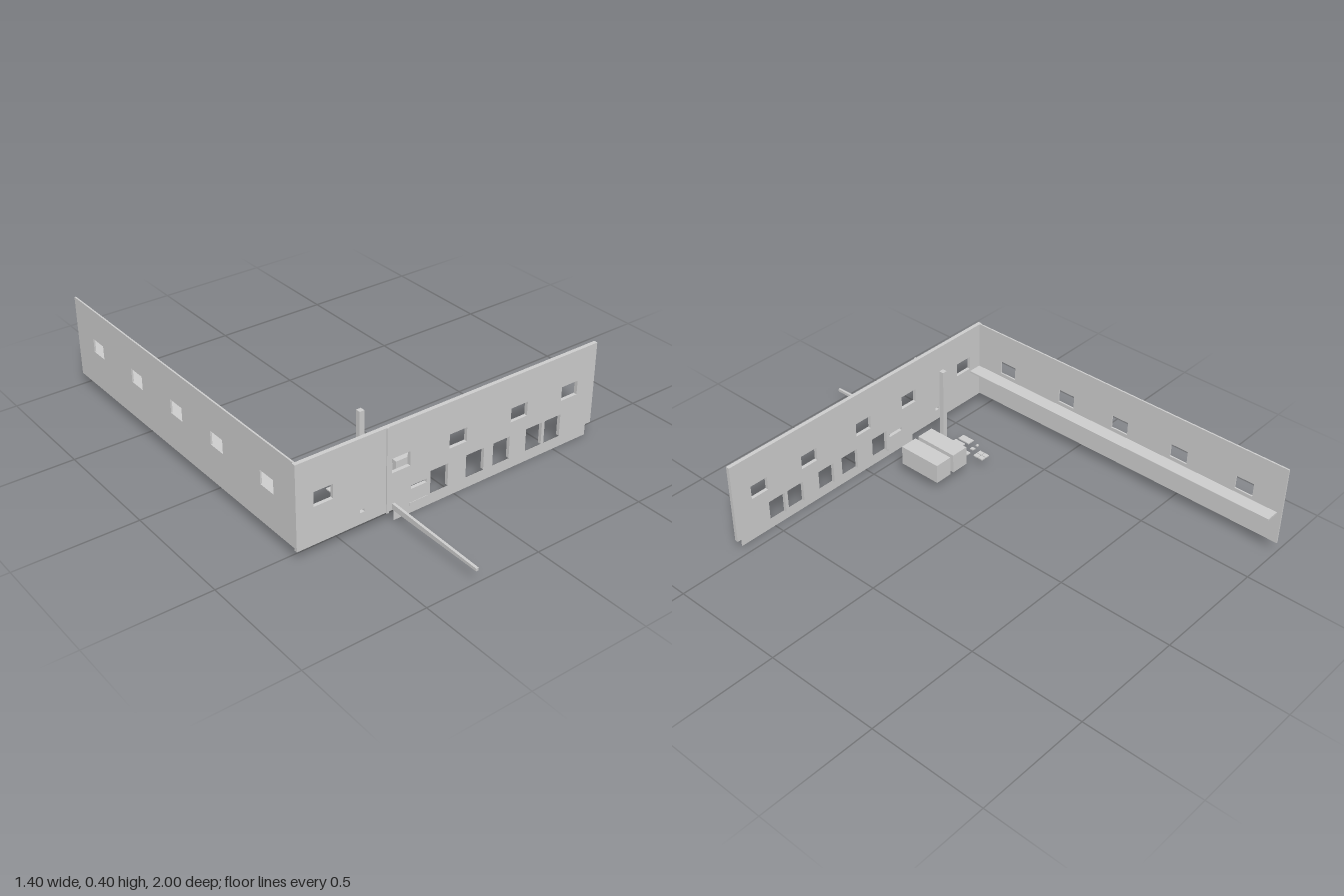
import * as THREE from 'three';

const material = new THREE.MeshStandardMaterial({ color: 0xcccccc, flatShading: true, side: THREE.DoubleSide });

function add(group, name, geometry) {
  const mesh = new THREE.Mesh(geometry, material);
  mesh.name = name;
  group.add(mesh);
  return mesh;
}

// Box given by its minimum and maximum on each axis
function box(group, name, x0, x1, y0, y1, z0, z1) {
  const mesh = add(group, name, new THREE.BoxGeometry(x1 - x0, y1 - y0, z1 - z0));
  mesh.position.set((x0 + x1) / 2, (y0 + y1) / 2, (z0 + z1) / 2);
  return mesh;
}

// Upright wall slab with rectangular openings [x0, x1, y0, y1] and doorways [x0, x1] rising from the base
function wall(x0, x1, y0, y1, depth, openings, doors = [], doorTop = 0) {
  const shape = new THREE.Shape();
  shape.moveTo(x0, y0);
  for (const [a, b] of doors) {
    shape.lineTo(a, y0);
    shape.lineTo(a, doorTop);
    shape.lineTo(b, doorTop);
    shape.lineTo(b, y0);
  }
  shape.lineTo(x1, y0);
  shape.lineTo(x1, y1);
  shape.lineTo(x0, y1);
  shape.closePath();
  for (const [a, b, c, d] of openings) {
    const hole = new THREE.Path();
    hole.moveTo(a, c);
    hole.lineTo(a, d);
    hole.lineTo(b, d);
    hole.lineTo(b, c);
    hole.closePath();
    shape.holes.push(hole);
  }
  return new THREE.ExtrudeGeometry(shape, { depth, bevelEnabled: false });
}

export function createModel() {
  const model = new THREE.Group();
  model.name = 'buildingWalls';

  // Front wall with upper windows, doorways and two small openings
  const upper = [-0.627, -0.29, -0.027, 0.27, 0.528].map(x => [x, x + 0.082, 0.204, 0.264]);
  const small = [[-0.43, -0.41, 0.094, 0.107], [-0.203, -0.13, 0.102, 0.117]];
  const doors = [0.056, 0.188, 0.353, 0.449].map(x => [x, x + 0.082]);
  doors.unshift([-0.113, -0.03]);
  doors[1][1] = 0.143;
  add(model, 'frontWall', wall(-0.7, 0.7, 0.047, 0.398, 0.015, [...upper, ...small], doors, 0.143))
    .position.z = 0.534;
  box(model, 'frontCoping', -0.7, 0.7, 0.395, 0.4, 0.533, 0.55);

  // Thin plinth and the step set into it
  const plinth = add(model, 'plinth', new THREE.PlaneGeometry(0.952, 0.047));
  plinth.position.set(0.196, 0.0235, 0.549);
  box(model, 'step', -0.21, -0.124, 0.032, 0.045, 0.537, 0.551);

  // Side wall: drawn along -z, then turned to stand on the right-hand edge
  const side = [-0.41, -0.09, 0.188, 0.48, 0.786].map(x => [x, x + 0.081, 0.207, 0.266]);
  const sideWall = add(model, 'sideWall', wall(-0.54, 1, 0.05, 0.4, 0.007, side));
  sideWall.rotation.y = Math.PI / 2;
  sideWall.position.x = -0.695;
  box(model, 'ledge', -0.69, -0.629, 0.183, 0.191, -0.98, 0.537);

  // Downpipe on the front and column inside
  box(model, 'downpipe', -0.316, -0.306, 0.045, 0.4, 0.549, 0.554);
  box(model, 'column', -0.325, -0.304, 0.05, 0.4, 0.388, 0.409);

  // Tapered low wall running out from the front
  const profile = new THREE.Shape([
    new THREE.Vector2(-0.55, 0.05), new THREE.Vector2(-0.55, 0.075),
    new THREE.Vector2(-1, 0.061), new THREE.Vector2(-1, 0.05),
  ]);
  const lowWall = add(model, 'lowWall', new THREE.ExtrudeGeometry(profile, { depth: 0.011, bevelEnabled: false }));
  lowWall.rotation.y = Math.PI / 2;
  lowWall.position.x = -0.288;

  // Pair of cabinets behind the front wall
  for (const x of [-0.261, -0.165]) box(model, 'cabinet', x, x + 0.079, 0.05, 0.135, 0.221, 0.417);

  // Flat floor tiles: [x0, x1, z0, z1]
  const tiles = [
    [-0.39, -0.38, 0.266, 0.276], [-0.362, -0.347, 0.262, 0.278], [-0.326, -0.304, 0.257, 0.284],
    [-0.4, -0.368, 0.305, 0.364], [-0.357, -0.304, 0.315, 0.368],
  ];
  for (const x of [-0.364, -0.341])
    for (const z of [0.187, 0.213]) tiles.push([x, x + 0.02, z, z + 0.023]);
  for (const [a, b, c, d] of tiles) box(model, 'floorTile', a, b, 0.05, 0.055, c, d);

  return model;
}
